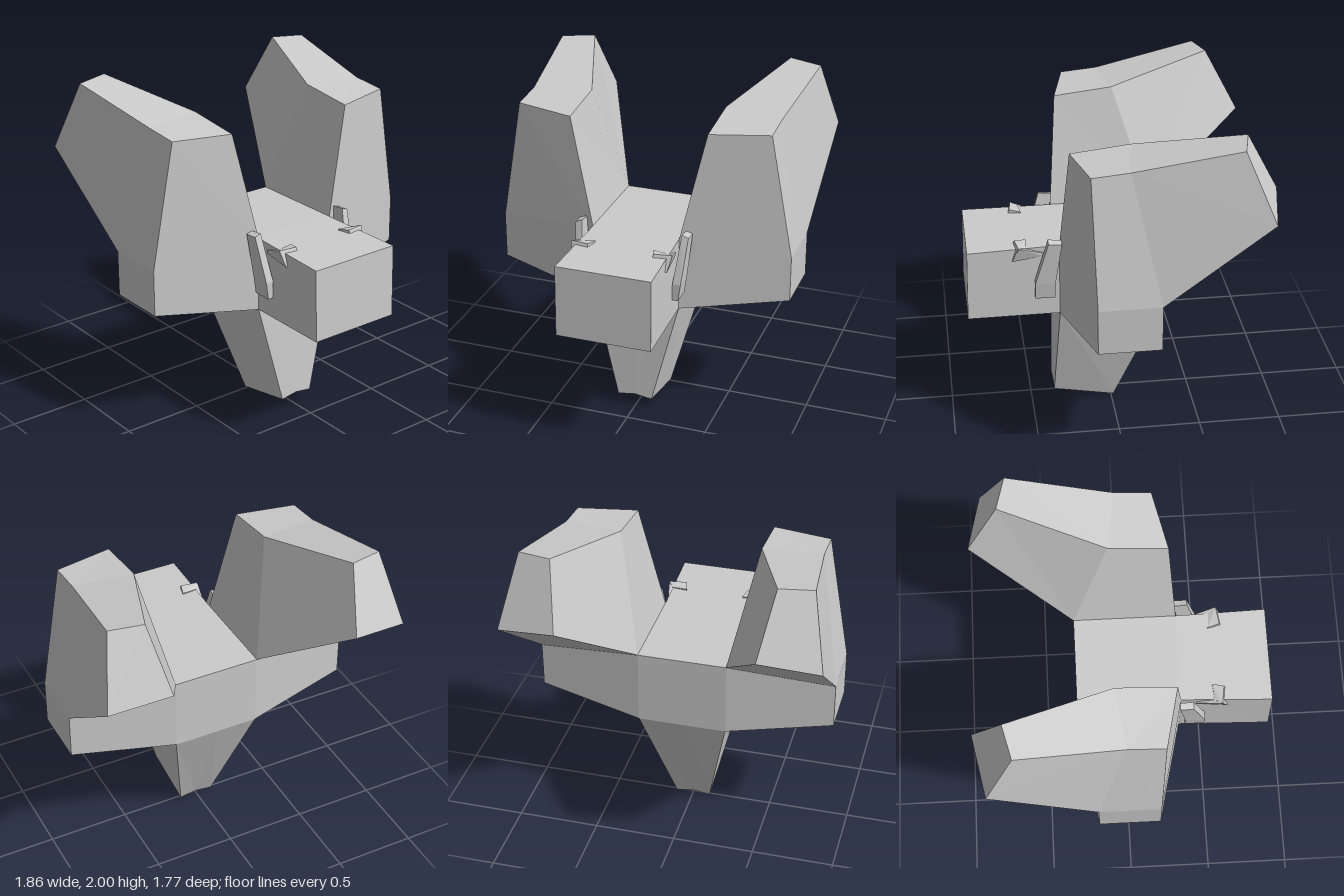
import * as THREE from 'three';

const material = new THREE.MeshStandardMaterial({ color: 0xcccccc, flatShading: true, side: THREE.DoubleSide });

// Joins rings of corners with walls; caps list the quads that close the first and last ring.
function loft(name, rings, firstCaps = [[0, 1, 2, 3]], lastCaps = [[0, 1, 2, 3]]) {
  const tris = [];
  const quad = (a, b, c, d) => tris.push([a, b, c], [a, c, d]);
  for (let r = 0; r < rings.length - 1; r++) {
    const A = rings[r], B = rings[r + 1], n = A.length;
    for (let i = 0; i < n; i++) {
      const j = (i + 1) % n;
      quad(A[i], A[j], B[j], B[i]);
    }
  }
  const first = rings[0], last = rings[rings.length - 1];
  firstCaps.forEach(([a, b, c, d]) => quad(first[d], first[c], first[b], first[a]));
  lastCaps.forEach(([a, b, c, d]) => quad(last[a], last[b], last[c], last[d]));

  // Turn all faces outward, using the sign of the enclosed volume
  const all = rings.flat();
  const centre = [0, 1, 2].map(k => all.reduce((s, p) => s + p[k], 0) / all.length);
  const rel = p => new THREE.Vector3(p[0] - centre[0], p[1] - centre[1], p[2] - centre[2]);
  let volume = 0;
  for (const [a, b, c] of tris) volume += rel(a).dot(rel(b).cross(rel(c)));
  if (volume < 0) tris.forEach(t => t.reverse());

  const geometry = new THREE.BufferGeometry();
  geometry.setAttribute('position', new THREE.Float32BufferAttribute(tris.flat(2), 3));
  geometry.computeVertexNormals();
  const mesh = new THREE.Mesh(geometry, material);
  mesh.name = name;
  return mesh;
}

// Rectangular ring across z, and rectangular ring across y
const ringZ = (x, y0, y1, z0, z1) => [[-x, y0, z0], [x, y0, z0], [x, y1, z1], [-x, y1, z1]];
const ringY = (y, x0, x1, z0, z1) => [[x0, y, z0], [x1, y, z0], [x1, y, z1], [x0, y, z1]];

export function createModel() {
  const model = new THREE.Group();

  // Body and head in one straight block that widens to the front
  model.add(loft('bodyAndHead', [
    ringZ(0.27, 0.72, 1.18, -0.29, -0.29),
    ringZ(0.27, 0.72, 1.18, 0.33, 0.33),
    ringZ(0.29, 0.73, 1.17, 0.885, 0.875),
  ]));

  // Tapering keel with a shallow notch along its underside
  const keelRing = (x, yf, yb, rise, zf, zb) => [
    [-x, yf, zf], [0, yf + rise, zf], [x, yf, zf],
    [x, yb, zb], [0, yb + rise, zb], [-x, yb, zb],
  ];
  const keelCaps = [[0, 1, 4, 5], [1, 2, 3, 4]];
  model.add(loft('keel', [
    keelRing(0.27, 0.72, 0.72, 0, 0.33, -0.29),
    keelRing(0.108, 0.07, 0, 0.016, 0.36, -0.015),
  ], [], keelCaps));

  for (const [label, side] of [['left', 1], ['right', -1]]) {
    const flip = rings => rings.map(ring => ring.map(([x, y, z]) => [side * x, y, z]));

    // Shoulder and raised wing: an inner and an outer outline joined together
    const inner = [
      [0.27, 0.72, 0.33], [0.27, 1.18, 0.33], [0.42, 1.84, 0.28], [0.42, 1.88, -0.07],
      [0.64, 2.0, -0.69], [0.57, 1.63, -0.885], [0.27, 1.18, -0.29], [0.27, 0.72, -0.29],
    ];
    const outer = [
      [0.91, 0.81, 0.18], [0.91, 1.09, 0.18], [0.775, 1.85, 0.2], [0.775, 1.87, -0.02],
      [0.84, 1.99, -0.64], [0.93, 1.57, -0.815], [0.91, 1.09, -0.19], [0.91, 0.81, -0.19],
    ];
    const wingCaps = [[1, 2, 3, 6], [3, 4, 5, 6]];
    model.add(loft(label + 'Wing', flip([inner, outer]), wingCaps, [[0, 1, 6, 7], ...wingCaps]));

    // Bent blade standing beside the head
    model.add(loft(label + 'Blade', flip([
      ringY(0.855, 0.28, 0.315, 0.36, 0.48),
      ringY(0.96, 0.28, 0.33, 0.36, 0.48),
      [[0.31, 1.235, 0.32], [0.35, 1.225, 0.32], [0.35, 1.23, 0.4], [0.31, 1.245, 0.4]],
    ])));

    // Brow: a wedge along the side of the head and a short hook over its top edge
    model.add(loft(label + 'BrowSide', flip([
      [[0.26, 1.12, 0.42], [0.28, 1.12, 0.42], [0.28, 1.14, 0.42], [0.26, 1.14, 0.42]],
      [[0.27, 1.1, 0.61], [0.29, 1.1, 0.61], [0.31, 1.19, 0.57], [0.27, 1.19, 0.58]],
    ])));
    model.add(loft(label + 'BrowHook', flip([
      [[0.29, 1.1, 0.61], [0.31, 1.195, 0.575], [0.28, 1.18, 0.53], [0.27, 1.12, 0.53]],
      [[0.2, 1.165, 0.6], [0.2, 1.195, 0.59], [0.18, 1.185, 0.52], [0.18, 1.165, 0.52]],
    ])));
  }

  return model;
}
